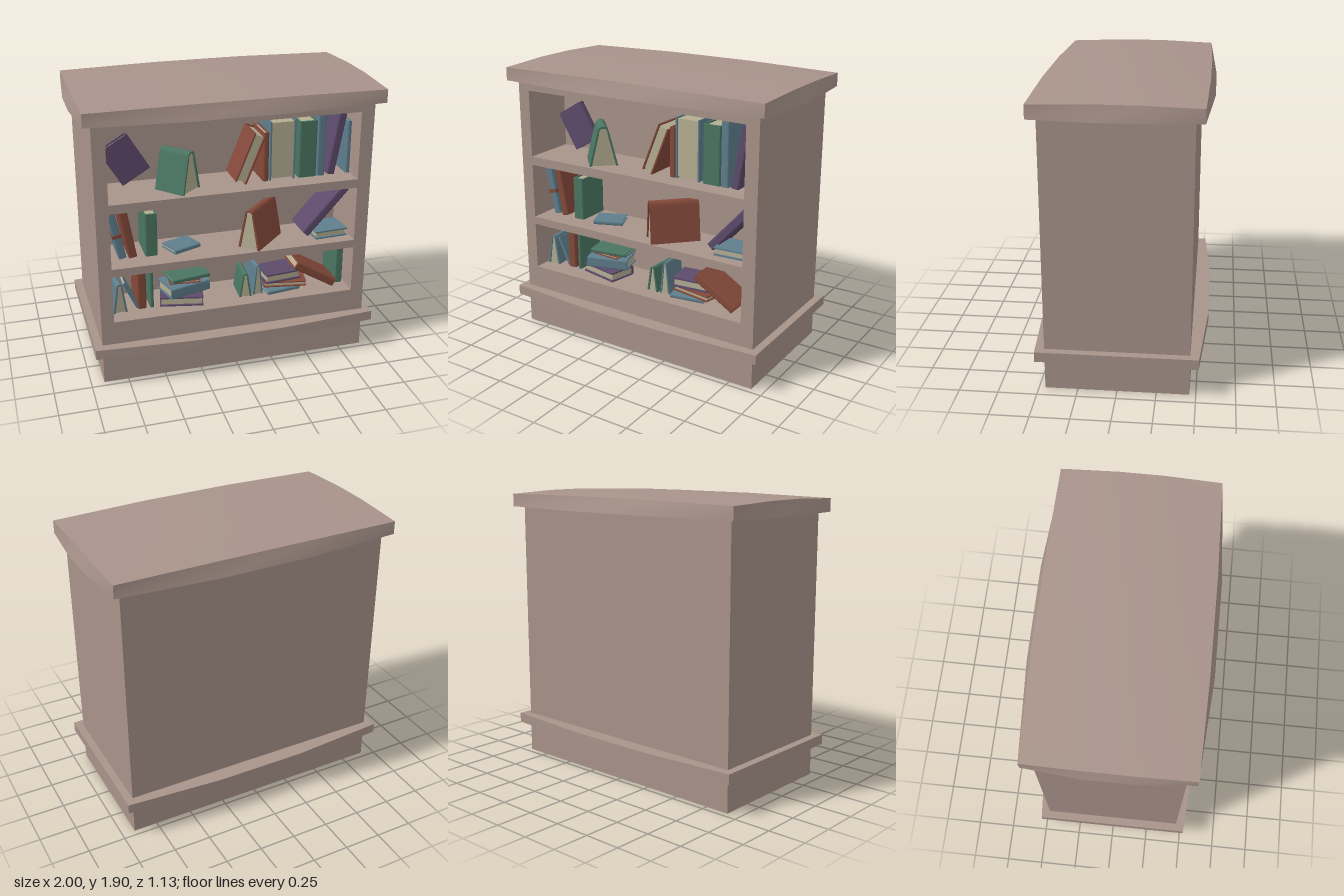
import * as THREE from 'three';
import { toCreasedNormals } from 'three/addons/utils/BufferGeometryUtils.js';

const mat = (name, color) => {
  const m = new THREE.MeshStandardMaterial({ color });
  m.name = name;
  return m;
};

export function createModel() {
  const root = new THREE.Group();
  const wood = mat('wood', 0xa8938a);
  const cream = mat('paper', 0xb5ae92);
  const rust = mat('rust cover', 0x84493a);
  const green = mat('green cover', 0x4a7562);
  const blue = mat('blue cover', 0x5e7e8c);
  const purple = mat('purple cover', 0x5d4a6b);
  const rad = THREE.MathUtils.degToRad;

  const add = (parent, name, geometry, material) => {
    const mesh = new THREE.Mesh(geometry, material);
    mesh.name = name;
    parent.add(mesh);
    return mesh;
  };

  // Carcass: front frame with three shelf openings, closed by a solid back
  const rect = (P, x0, y0, x1, y1) => {
    const p = new P();
    p.moveTo(x0, y0); p.lineTo(x1, y0); p.lineTo(x1, y1); p.lineTo(x0, y1); p.closePath();
    return p;
  };
  const front = rect(THREE.Shape, -0.913, 0, 0.913, 1.79);
  for (const [y0, y1] of [[0.44, 0.765], [0.82, 1.2], [1.26, 1.72]])
    front.holes.push(rect(THREE.Path, -0.828, y0, 0.823, y1));
  add(root, 'shelfFrame', new THREE.ExtrudeGeometry(front, { depth: 0.37, bevelEnabled: false }), wood)
    .position.z = 0.09;
  add(root, 'caseBack', new THREE.BoxGeometry(1.826, 1.79, 0.55), wood).position.set(0, 0.895, -0.185);

  // Bowed slab: a segmented box whose vertices follow a rule
  const slab = (name, zSegments, rule) => {
    const g = new THREE.BoxGeometry(2, 2, 2, 3, 1, zSegments);
    const p = g.attributes.position;
    for (let i = 0; i < p.count; i++) p.setXYZ(i, ...rule(p.getX(i), p.getY(i), p.getZ(i)));
    add(root, name, toCreasedNormals(g, 0.5), wood);
  };
  const sign = Math.sign;
  slab('baseMoulding', 1, (x, y, z) => {
    const mid = Math.abs(x) < 0.5;
    return [sign(x) * (mid ? 0.31 : 0.965), y > 0 ? 0.28 : 0.213, z * (mid ? 0.563 : 0.515)];
  });
  slab('topCornice', 3, (x, y, z) => {
    const mx = Math.abs(x) < 0.5, mz = Math.abs(z) < 0.5, top = y > 0;
    const px = mx ? 0.31 : mz ? (top ? 0.975 : 1) : 0.967;
    const pz = mz ? 0.15 : mx ? (top ? 0.53 : 0.563) : 0.515;
    const py = !top ? 1.785 : mx && mz ? 1.905 : mx ? 1.882 : mz ? 1.885 : 1.872;
    return [sign(x) * px, py, sign(z) * pz];
  });

  // Closed book: U-shaped cover with rounded spine around a page block.
  // w thickness, h height, d depth; turn 0 = spine forward, 180 = pages forward
  const book = (name, color, w, h, d, x, y, z, { tilt = 0, yaw = 0, turn = 0 } = {}) => {
    const g = new THREE.Group();
    g.name = name;
    g.position.set(x, y, z);
    g.rotation.set(0, rad(yaw), rad(tilt), 'YXZ');
    const inner = new THREE.Group();
    inner.rotation.y = rad(turn);
    g.add(inner);
    const a = w / 2, t = Math.min(0.01, w * 0.2), r = Math.min(0.012, a);
    const s = new THREE.Shape();
    s.moveTo(-a, d / 2);
    s.lineTo(-a, -d / 2 + r);
    s.quadraticCurveTo(-a, -d / 2, -a + r, -d / 2);
    s.lineTo(a - r, -d / 2);
    s.quadraticCurveTo(a, -d / 2, a, -d / 2 + r);
    s.lineTo(a, d / 2);
    s.lineTo(a - t, d / 2);
    s.lineTo(a - t, -d / 2 + 0.014);
    s.lineTo(-a + t, -d / 2 + 0.014);
    s.lineTo(-a + t, d / 2);
    s.closePath();
    const cover = new THREE.ExtrudeGeometry(s, { depth: h, bevelEnabled: false, curveSegments: 3 });
    cover.rotateX(-Math.PI / 2).translate(0, -h / 2, 0);
    add(inner, 'cover', cover, color);
    add(inner, 'pages', new THREE.BoxGeometry(w - 2 * t, h - 0.02, d - 0.026), cream);
    root.add(g);
    return g;
  };
  // Upright book given by its left and right edges, floor and top
  const upright = (name, color, x0, x1, y0, y1, opt) =>
    book(name, color, x1 - x0, y1 - y0, 0.23, (x0 + x1) / 2, (y0 + y1) / 2, 0.215, opt);
  // Book lying flat
  const flat = (name, color, x0, x1, y0, y1, d, z, yaw, turn = 0) =>
    book(name, color, y1 - y0, x1 - x0, d, (x0 + x1) / 2, (y0 + y1) / 2, z, { tilt: 90, yaw, turn });

  // Open book standing like a tent, ridge along local z
  const tent = (name, color, w, h, len, x, y, z, yaw) => {
    const g = new THREE.Group();
    g.name = name;
    g.position.set(x, y, z);
    g.rotation.y = rad(yaw);
    const a = w / 2, b = w * 0.2, t = Math.min(0.014, w * 0.14);
    const outline = (inset) => {
      const s = new THREE.Shape();
      s.moveTo(-a + inset, 0);
      s.lineTo(-b + inset * 0.7, h - b - inset);
      s.quadraticCurveTo(-b * 0.8, h - inset, 0, h - inset);
      s.quadraticCurveTo(b * 0.8, h - inset, b - inset * 0.7, h - b - inset);
      s.lineTo(a - inset, 0);
      return s;
    };
    const shell = outline(0);
    for (const p of outline(t).getPoints(4).reverse()) shell.lineTo(p.x, p.y);
    const prism = (s, l) =>
      new THREE.ExtrudeGeometry(s, { depth: l, bevelEnabled: false, curveSegments: 4 }).translate(0, 0, -l / 2);
    add(g, 'cover', prism(shell, len), color);
    add(g, 'pages', prism(outline(t), len - 0.02), cream);
    root.add(g);
  };

  // Top shelf
  book('proppedBook', purple, 0.05, 0.28, 0.213, -0.663, 1.432, 0.13, { tilt: 31, turn: 90 });
  tent('greenTentBook', green, 0.19, 0.27, 0.22, -0.352, 1.26, 0.29, 42);
  book('leaningRustBook', rust, 0.08, 0.34, 0.23, 0.117, 1.432, 0.24, { tilt: -22, turn: 180 });
  upright('thinRustBook', rust, 0.212, 0.25, 1.26, 1.59);
  upright('wideBlueBook', blue, 0.257, 0.43, 1.26, 1.66, { turn: 180 });
  upright('wideGreenBook', green, 0.457, 0.58, 1.26, 1.645);
  upright('tallBlueBook', blue, 0.585, 0.64, 1.26, 1.71);
  book('leaningPurpleBook', purple, 0.055, 0.42, 0.23, 0.72, 1.47, 0.215, { tilt: -10 });
  upright('thinBlueBook', blue, 0.79, 0.82, 1.26, 1.62);

  // Middle shelf
  const banded = book('bandedBlueBook', blue, 0.052, 0.325, 0.23, -0.765, 0.985, 0.215, { tilt: 12 });
  add(banded, 'band', new THREE.BoxGeometry(0.062, 0.025, 0.24), rust);
  book('leaningMiddleBook', rust, 0.055, 0.325, 0.23, -0.692, 0.985, 0.215, { tilt: 10 });
  upright('greenMiddleBook', green, -0.582, -0.5, 0.82, 1.115);
  flat('flatBlueBook', blue, -0.425, -0.225, 0.82, 0.85, 0.16, 0.25, 22);
  tent('rustTentBook', rust, 0.155, 0.275, 0.33, 0.213, 0.82, 0.285, -45);
  book('slantedPurpleBook', purple, 0.058, 0.42, 0.22, 0.662, 1.0, 0.225, { tilt: -42 });
  flat('cornerBlueBook', blue, 0.57, 0.8, 0.82, 0.875, 0.2, 0.28, 4, 180);

  // Bottom shelf
  tent('blueTentBook', blue, 0.095, 0.21, 0.22, -0.775, 0.44, 0.24, 5);
  book('blueFlap', blue, 0.02, 0.21, 0.2, -0.69, 0.545, 0.23, { tilt: 25 });
  upright('rustLowBook', rust, -0.645, -0.585, 0.44, 0.735);
  upright('thinGreenBook', green, -0.562, -0.536, 0.44, 0.75);
  flat('stackPurpleBook', purple, -0.48, -0.19, 0.44, 0.505, 0.2, 0.27, -12, 180);
  flat('stackBlueBook', blue, -0.46, -0.17, 0.51, 0.585, 0.2, 0.26, 16);
  flat('stackRustBook', rust, -0.42, -0.21, 0.588, 0.61, 0.17, 0.25, -5, 180);
  flat('stackGreenBook', green, -0.43, -0.165, 0.611, 0.64, 0.2, 0.25, 10);
  tent('greenSmallTent', green, 0.085, 0.175, 0.2, 0.1, 0.44, 0.26, -4);
  tent('blueSmallTent', blue, 0.07, 0.22, 0.2, 0.178, 0.44, 0.25, 4);
  flat('pileBlueBook', blue, 0.235, 0.475, 0.44, 0.468, 0.2, 0.27, 8);
  flat('pileRustBook', rust, 0.25, 0.545, 0.471, 0.508, 0.2, 0.25, -10, 180);
  flat('pilePurpleBook', purple, 0.235, 0.49, 0.511, 0.575, 0.2, 0.24, 6, 180);
  book('slidingRustBook', rust, 0.058, 0.33, 0.22, 0.585, 0.556, 0.28, { tilt: 59 });
  upright('endGreenBook', green, 0.757, 0.81, 0.44, 0.74);

  return root;
}
